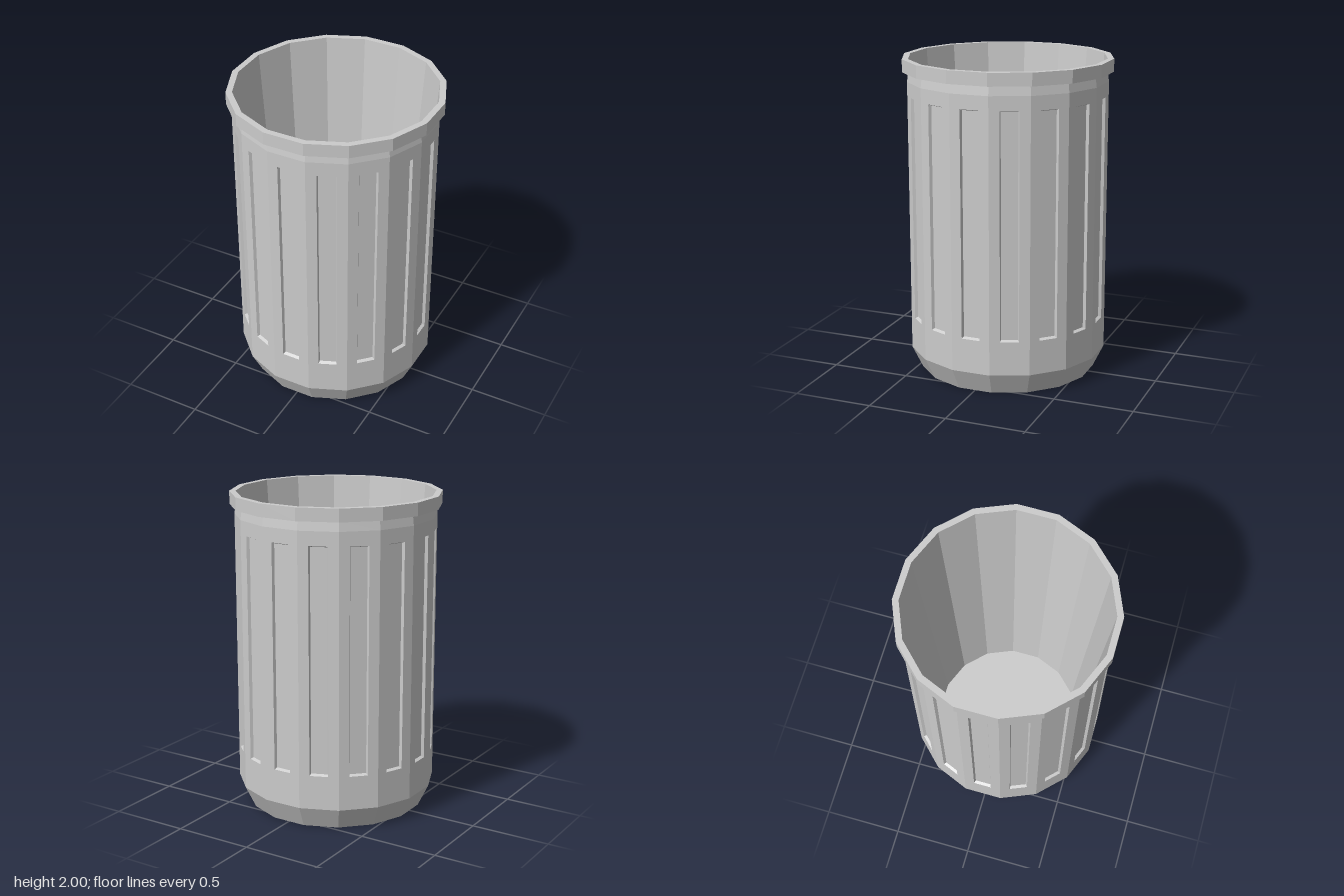
import * as THREE from 'three';

const SIDES = 16;
const STEP = (Math.PI * 2) / SIDES;
const WALL = 0.616; // centre-of-side distance of the body wall
const toCorner = 1 / Math.cos(STEP / 2);

// Faceted ring turned from [side distance, height] points, a flat side facing +z
function faceted(points) {
  const profile = points.map(([d, y]) => new THREE.Vector2(d * toCorner, y));
  const g = new THREE.LatheGeometry(profile, SIDES, STEP / 2).toNonIndexed();
  g.computeVertexNormals();
  return g;
}

// Rectangle loop, counter-clockwise seen from +z
const rect = (half, y0, y1, z) => [[-half, y0, z], [half, y0, z], [half, y1, z], [-half, y1, z]];

// One wall side: flat border, bevelled edge and sunken panel
function wallSideGeometry() {
  const loops = [
    rect(WALL * Math.tan(STEP / 2), 0.14, 1.86, WALL),
    rect(0.058, 0.355, 1.772, WALL),
    rect(0.051, 0.365, 1.765, WALL - 0.018),
  ];
  const pos = [];
  const quad = (a, b, c, d) => pos.push(...a, ...b, ...c, ...a, ...c, ...d);
  for (let k = 0; k < 2; k++) {
    for (let i = 0; i < 4; i++) {
      const j = (i + 1) % 4;
      quad(loops[k][i], loops[k][j], loops[k + 1][j], loops[k + 1][i]);
    }
  }
  quad(...loops[2]);
  const g = new THREE.BufferGeometry();
  g.setAttribute('position', new THREE.Float32BufferAttribute(pos, 3));
  g.computeVertexNormals();
  return g;
}

export function createModel() {
  const model = new THREE.Group();
  model.name = 'trashCan';
  const material = new THREE.MeshStandardMaterial({ color: 0xcccccc, flatShading: true });
  const add = (name, geometry, parent = model) => {
    const mesh = new THREE.Mesh(geometry, material);
    mesh.name = name;
    parent.add(mesh);
    return mesh;
  };

  // Underside and tapered foot
  add('base', faceted([[0, 0], [0.55, 0], [WALL, 0.14]]));

  // Body wall, one recessed panel per side
  const wall = new THREE.Group();
  wall.name = 'wall';
  model.add(wall);
  const side = wallSideGeometry();
  for (let i = 0; i < SIDES; i++) add('wallPanel', side, wall).rotation.y = i * STEP;

  // Shoulder below the rim, and the overhanging rim
  add('shoulder', faceted([[WALL, 1.86], [0.608, 1.92]]));
  add('rim', faceted([[0.608, 1.92], [0.645, 1.92], [0.645, 2], [0.607, 2]]));

  // Tapered inside wall and floor
  add('interior', faceted([[0.607, 2], [0.465, 0.08], [0, 0.08]]));

  return model;
}
